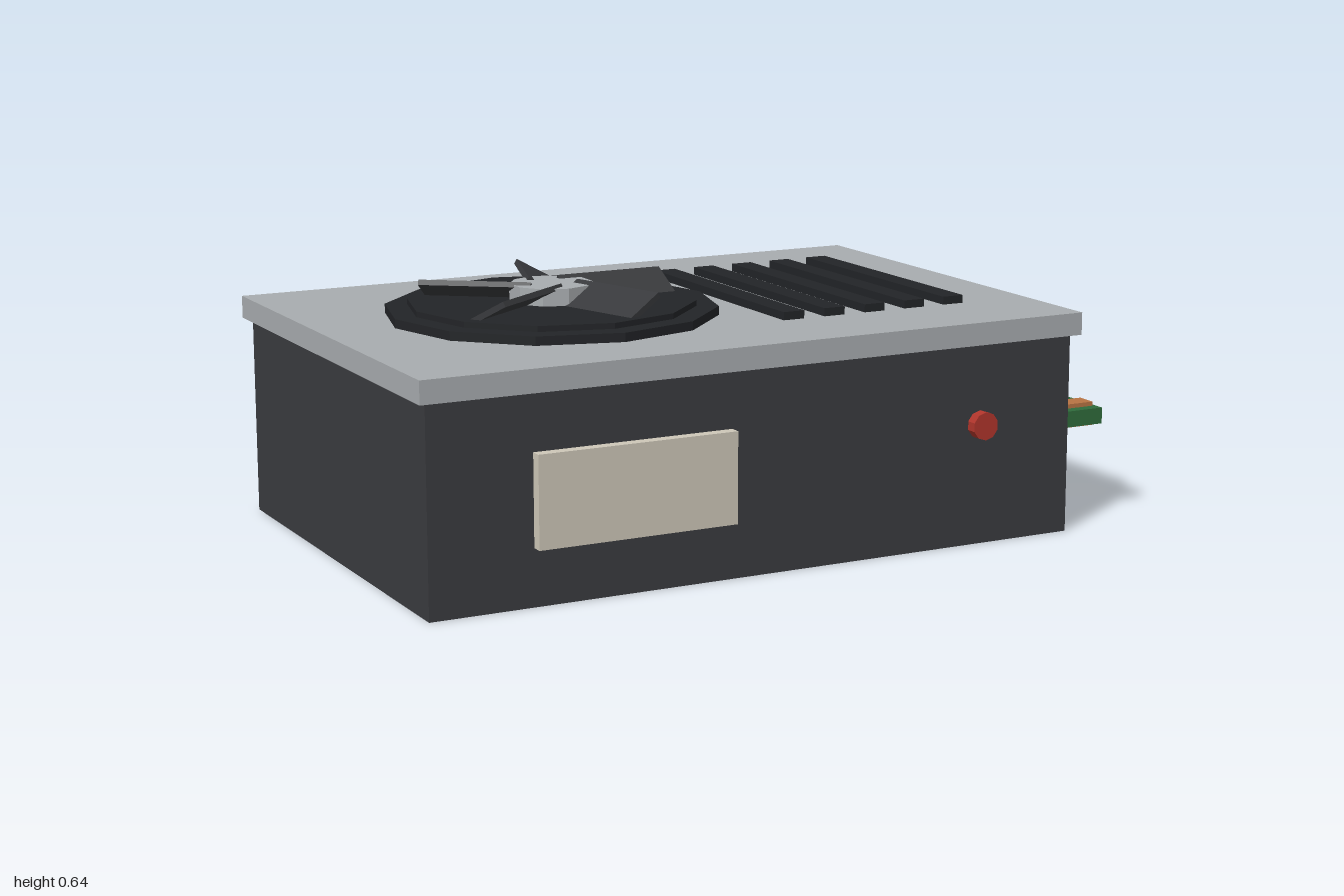
import * as THREE from 'three';

const mat = (color) => new THREE.MeshStandardMaterial({ color, flatShading: true });
const M = {
  body: mat(0x3a3b3f), lid: mat(0xa8acaf), dark: mat(0x222427), blade: mat(0x38393c),
  green: mat(0x2f6b3c), copper: mat(0xb87343), label: mat(0xcdc7b8), red: mat(0xb0352b),
};
const ZC = -0.004; // depth centre of the case

function add(parent, name, geometry, material, x, y, z) {
  const mesh = new THREE.Mesh(geometry, material);
  mesh.name = name;
  mesh.position.set(x, y, z);
  parent.add(mesh);
  return mesh;
}
const box = (w, h, d) => new THREE.BoxGeometry(w, h, d);
const disc = (r, h, sides) => new THREE.CylinderGeometry(r, r, h, sides);

function createFan() {
  const fan = new THREE.Group();
  fan.name = 'fan';
  add(fan, 'fanBase', disc(0.41, 0.022, 12), M.dark, 0, 0.011, 0);
  add(fan, 'fanRing', disc(0.355, 0.036, 12), M.dark, 0, 0.018, 0);
  add(fan, 'fanHub', disc(0.103, 0.058, 10), M.lid, 0, 0.049, 0);
  // five pitched blades
  for (let i = 0; i < 5; i++) {
    const arm = new THREE.Group();
    arm.name = 'fanBlade' + (i + 1);
    arm.rotation.y = (i * Math.PI * 2) / 5;
    const blade = add(arm, 'blade', box(0.28, 0.014, 0.122), M.blade, 0.18, 0.05, 0);
    blade.rotation.x = 0.5;
    fan.add(arm);
  }
  return fan;
}

export function createModel() {
  const model = new THREE.Group();
  model.name = 'powerUnit';

  // case and overhanging lid
  add(model, 'case', box(1.71, 0.5, 1.142), M.body, -0.125, 0.25, ZC);
  add(model, 'lid', box(1.75, 0.056, 1.183), M.lid, -0.125, 0.528, ZC);

  const fan = createFan();
  fan.position.set(-0.41, 0.556, ZC);
  model.add(fan);

  // vent bars on the lid
  for (let i = 0; i < 5; i++) {
    add(model, 'ventBar' + (i + 1), box(0.057, 0.03, 0.685), M.dark, 0.078 + i * 0.114, 0.561, ZC);
  }

  // edge connector with contacts on both faces
  add(model, 'connectorBoard', box(0.29, 0.042, 0.685), M.green, 0.855, 0.222, ZC);
  for (let i = 0; i < 6; i++) {
    const z = ZC + (i - 2.5) * 0.114;
    for (const side of [-1, 1]) {
      add(model, side > 0 ? 'upperContact' : 'lowerContact', box(0.182, 0.02, 0.055), M.copper,
        0.9, 0.223 + side * 0.021, z);
    }
  }

  // front label plate and indicator button
  add(model, 'labelPlate', box(0.507, 0.222, 0.04), M.label, -0.468, 0.25, 0.575);
  const button = add(model, 'indicator', disc(0.035, 0.04, 10), M.red, 0.47, 0.3, 0.575);
  button.rotation.x = Math.PI / 2;

  return model;
}
